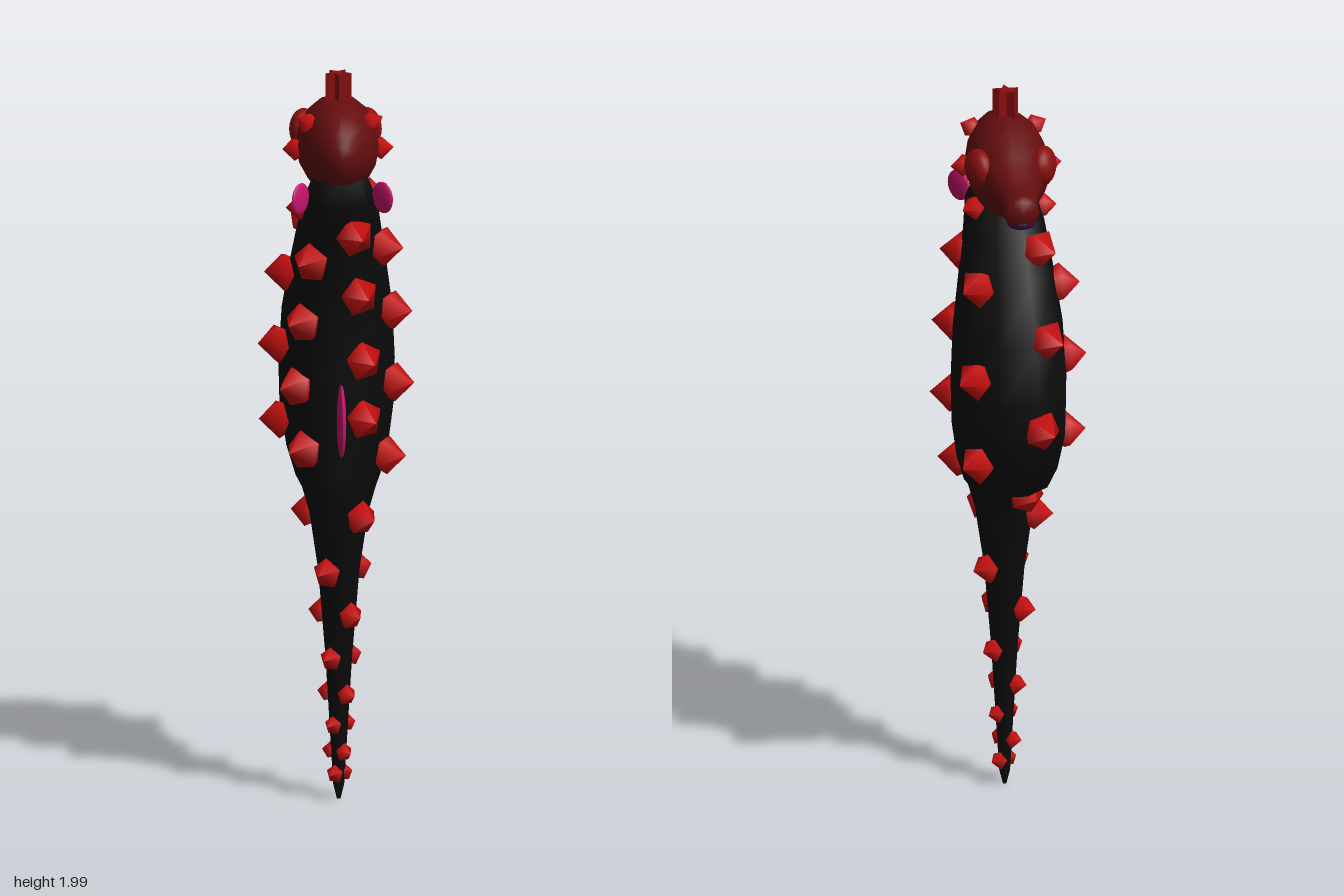
import * as THREE from 'three';

const mat = (name, color, side = THREE.FrontSide) => {
  const m = new THREE.MeshStandardMaterial({ color, side });
  m.name = name;
  return m;
};

// Closed smooth skin through rings; place(ring, sin, cos) gives a point.
function loft(rings, sides, place, centre) {
  const pos = [], idx = [];
  for (const r of rings) {
    for (let j = 0; j < sides; j++) {
      const a = (j / sides) * Math.PI * 2;
      pos.push(...place(r, Math.sin(a), Math.cos(a)));
    }
  }
  for (let i = 0; i < rings.length - 1; i++) {
    for (let j = 0; j < sides; j++) {
      const k = (j + 1) % sides;
      const a = i * sides + j, b = i * sides + k, c = a + sides, d = b + sides;
      idx.push(a, b, d, a, d, c);
    }
  }
  const last = (rings.length - 1) * sides, p0 = rings.length * sides, p1 = p0 + 1;
  pos.push(...centre(rings[0]), ...centre(rings[rings.length - 1]));
  for (let j = 0; j < sides; j++) {
    const k = (j + 1) % sides;
    idx.push(p0, k, j, p1, last + j, last + k);
  }
  const g = new THREE.BufferGeometry();
  g.setAttribute('position', new THREE.Float32BufferAttribute(pos, 3));
  g.setIndex(idx);
  g.computeVertexNormals();
  return g;
}

// Body rings: height, z centre, half width, half depth
const BODY = [
  [0.01, 0.085, 0.005, 0.005], [0.05, 0.083, 0.015, 0.015], [0.2, 0.083, 0.024, 0.026],
  [0.4, 0.083, 0.036, 0.039], [0.64, 0.08, 0.056, 0.061], [0.8, 0.082, 0.08, 0.084],
  [0.87, 0.08, 0.1, 0.092], [0.895, 0.037, 0.115, 0.138], [0.97, 0.002, 0.138, 0.176],
  [1.08, -0.026, 0.155, 0.205], [1.2, -0.028, 0.158, 0.207], [1.35, -0.008, 0.15, 0.185],
  [1.5, 0.035, 0.128, 0.147], [1.6, 0.075, 0.112, 0.127], [1.67, 0.125, 0.1, 0.13],
  [1.73, 0.13, 0.075, 0.085],
];

// Head rings from nape to snout tip: z, height, half width, half height
const HEAD = [
  [0.24, 1.8, 0.025, 0.035], [0.22, 1.8, 0.05, 0.07], [0.17, 1.8, 0.085, 0.107],
  [0.09, 1.8, 0.107, 0.13], [0.03, 1.797, 0.11, 0.136], [-0.04, 1.79, 0.1, 0.118],
  [-0.1, 1.785, 0.078, 0.085], [-0.15, 1.78, 0.062, 0.06], [-0.2, 1.775, 0.052, 0.047],
  [-0.265, 1.775, 0.048, 0.048], [-0.285, 1.775, 0.035, 0.038],
];

// Body studs: x, y, z direction hints; they are snapped to the body surface
const STUDS = [
  [0.04, 1.58, 0.22], [0.14, 1.53, 0.12], [-0.08, 1.5, 0.16], [0.1, 1.49, -0.085],
  [-0.085, 1.58, -0.05], [-0.16, 1.45, 0.04], [0.05, 1.41, 0.18], [-0.09, 1.365, -0.17],
  [0.16, 1.345, 0.075], [-0.1, 1.33, 0.14], [0.12, 1.26, -0.175], [-0.18, 1.25, 0.03],
  [0.065, 1.23, 0.185], [0.175, 1.145, 0.07], [-0.07, 1.13, -0.25], [-0.115, 1.15, 0.12],
  [0.065, 1.07, 0.18], [-0.19, 1.04, 0.02], [0.11, 1.015, -0.16], [-0.09, 0.98, 0.13],
  [0.15, 0.95, 0.09], [-0.06, 0.88, -0.09], [0.065, 0.795, 0.16], [-0.1, 0.795, 0.04],
  [-0.13, 1.645, 0.12], [0.1, 1.67, 0.04],
];
// Tail studs in opposite pairs, flipping side from pair to pair
[0.64, 0.52, 0.4, 0.3, 0.215, 0.14, 0.08].forEach((y, i) => {
  const s = i % 2 ? -1 : 1;
  STUDS.push([-0.045 * s, y, 0.15], [0.075 * s, y, 0.035]);
});

function ringAt(y) {
  const i = Math.max(1, BODY.findIndex((r) => r[0] >= y));
  const a = BODY[i - 1], b = BODY[i], t = (y - a[0]) / (b[0] - a[0]);
  return a.map((v, k) => v + (b[k] - v) * t);
}

export function createModel() {
  const group = new THREE.Group();
  const black = mat('body black', 0x0b0b0b);
  const darkRed = mat('head dark red', 0x640d0f);
  const red = mat('stud red', 0xc80f0f);
  const midRed = mat('eye red', 0x8a0e0e);
  const pink = mat('fin pink', 0xc8146a, THREE.DoubleSide);
  const purple = mat('mouth purple', 0x3a1052);
  const CX = 0.006;

  const add = (name, geo, material, x = 0, y = 0, z = 0) => {
    const m = new THREE.Mesh(geo, material);
    m.name = name;
    m.position.set(x, y, z);
    group.add(m);
    return m;
  };

  // Body with belly and tapering tail
  add('body', loft(BODY, 9,
    ([y, z, rx, rz], s, c) => [CX + rx * s, y, z + rz * c],
    ([y, z]) => [CX, y, z]), black);

  // Head and snout
  add('head', loft(HEAD, 16,
    ([z, y, rx, ry], s, c) => [CX + rx * s, y + ry * c, z],
    ([z, y]) => [CX, y, z - Math.sign(0.1 - z) * 0.004]), darkRed);

  // Five-sided studs: narrow foot, wide waist, pointed tip
  const studGeo = new THREE.LatheGeometry([
    new THREE.Vector2(0.025, -0.045), new THREE.Vector2(0.055, 0.008), new THREE.Vector2(0, 0.062),
  ], 5);
  const up = new THREE.Vector3(0, 1, 0);
  const stud = (name, p, dir, size) => {
    const m = add(name, studGeo, red, ...p);
    m.quaternion.setFromUnitVectors(up, dir.normalize());
    m.scale.setScalar(size);
  };
  for (const [x, y, z] of STUDS) {
    const [, c, rx, rz] = ringAt(y);
    const a = Math.atan2(x / rx, (z - c) / rz);
    const s = Math.sin(a), k = Math.cos(a);
    const size = Math.min(1, 0.46 + Math.max(0, y - 0.2) * 0.7);
    stud(y < 0.7 ? 'tailStud' : 'bodyStud', [CX + rx * s, y, c + rz * k],
      new THREE.Vector3(s / rx, 0, k / rz), y > 1.6 ? 0.65 : size);
  }

  for (const s of [-1, 1]) {
    // Head studs, eyes and cheek fins
    stud('headStud', [CX + s * 0.085, 1.875, 0.115], new THREE.Vector3(s, 0.5, 0.1), 0.55);
    stud('headStud', [CX + s * 0.112, 1.79, 0.055], new THREE.Vector3(s, 0, 0.1), 0.6);
    const eye = add('eye', new THREE.SphereGeometry(0.054, 18, 12), midRed, CX + s * 0.086, 1.82, -0.045);
    eye.scale.set(0.65, 1, 1);
    eye.rotation.y = s * 0.35;
    const fin = add('cheekFin', new THREE.SphereGeometry(1, 14, 10), pink, CX + s * 0.11, 1.685, 0.19);
    fin.scale.set(0.01, 0.043, 0.04);
    fin.rotation.y = s * 0.65;
  }

  // Back fin
  const fin = add('backFin', new THREE.SphereGeometry(1, 18, 12), pink, CX, 1.07, 0.185);
  fin.scale.set(0.012, 0.1, 0.066);

  // Mouth
  const mouth = add('mouth', new THREE.SphereGeometry(1, 14, 8), purple, CX, 1.746, -0.262);
  mouth.scale.set(0.04, 0.02, 0.026);

  // Star-shaped crown
  const star = new THREE.Shape();
  for (let i = 0; i < 10; i++) {
    const r = i % 2 ? 0.015 : 0.036, a = Math.PI * (i / 5 - 0.5);
    star[i ? 'lineTo' : 'moveTo'](r * Math.cos(a), r * Math.sin(a));
  }
  const crown = add('crown', new THREE.ExtrudeGeometry(star, { depth: 0.1, bevelEnabled: false }),
    midRed, CX, 1.9, 0.066);
  crown.rotation.x = -Math.PI / 2;

  return group;
}
